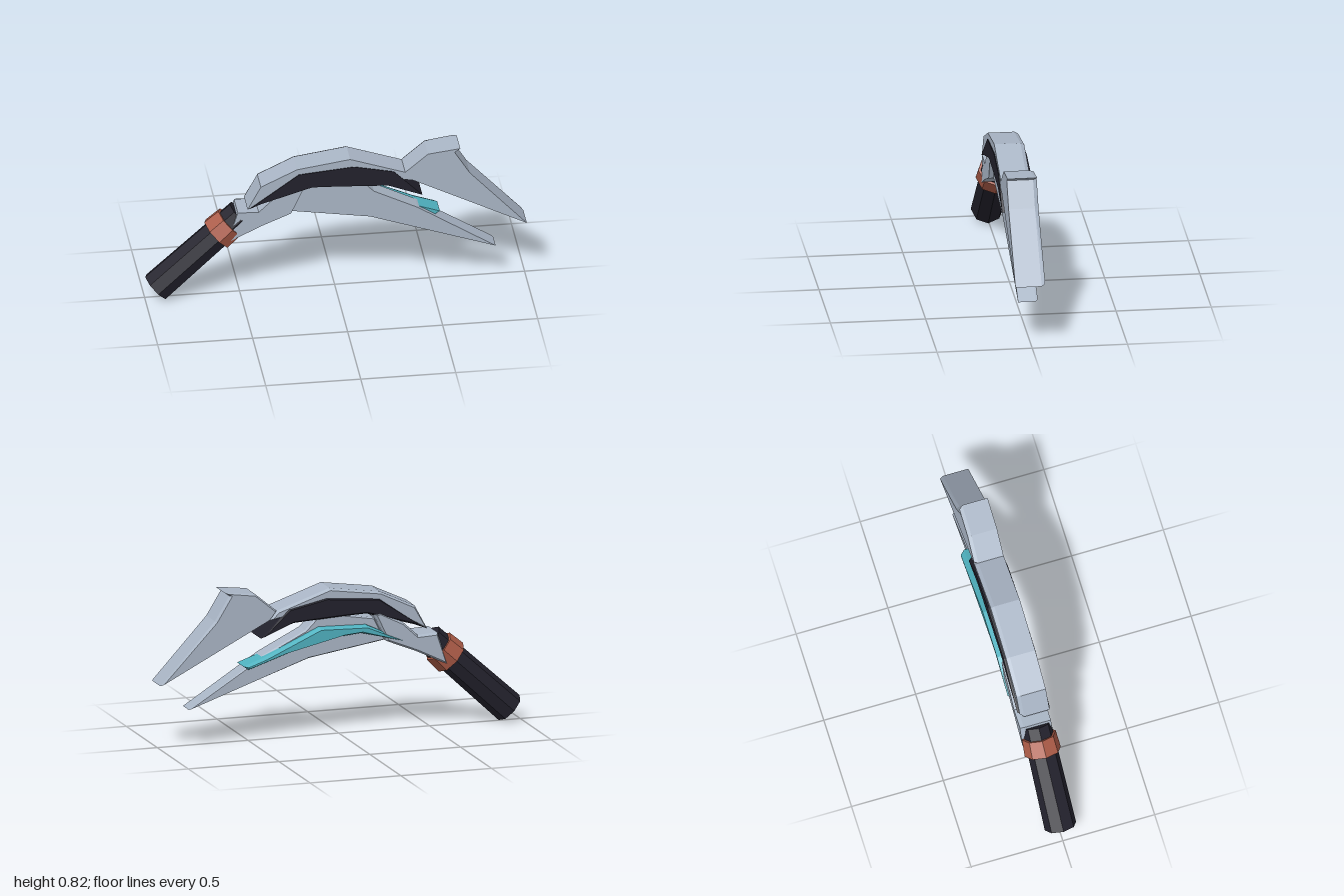
import * as THREE from 'three';

const mat = (name, color) => {
  const m = new THREE.MeshStandardMaterial({ color });
  m.name = name;
  return m;
};

// Flat slab from an outline, square at the front and chamfered at the back
function slab(outline, zBack, zFront, inset = 0.01, depth = 0.02) {
  let pts = outline.map(([x, y]) => new THREE.Vector2(x, y));
  if (THREE.ShapeUtils.area(pts) < 0) pts = pts.reverse();
  const n = pts.length;
  const inner = pts.map((p, i) => {
    const a = p.clone().sub(pts[(i + n - 1) % n]).normalize();
    const b = pts[(i + 1) % n].clone().sub(p).normalize();
    const na = new THREE.Vector2(-a.y, a.x), nb = new THREE.Vector2(-b.y, b.x);
    const m = na.clone().add(nb).normalize();
    return p.clone().addScaledVector(m, inset / Math.max(0.45, m.dot(na)));
  });
  const pos = [];
  const put = (p, z) => pos.push(p.x, p.y, z);
  const wall = (A, za, B, zb) => {
    for (let i = 0; i < n; i++) {
      const j = (i + 1) % n;
      put(A[i], za); put(A[j], za); put(B[j], zb);
      put(A[i], za); put(B[j], zb); put(B[i], zb);
    }
  };
  wall(inner, zBack, pts, zBack + depth);
  wall(pts, zBack + depth, pts, zFront);
  for (const [a, b, c] of THREE.ShapeUtils.triangulateShape(pts, [])) {
    put(pts[a], zFront); put(pts[b], zFront); put(pts[c], zFront);
    put(inner[a], zBack); put(inner[c], zBack); put(inner[b], zBack);
  }
  const g = new THREE.BufferGeometry();
  g.setAttribute('position', new THREE.Float32BufferAttribute(pos, 3));
  g.computeVertexNormals();
  return g;
}

export function createModel() {
  const group = new THREE.Group();
  const steel = mat('steel', 0xaab6c6);
  const dark = mat('darkGrip', 0x22212c);
  const copper = mat('copper', 0xab5b47);
  const teal = mat('teal', 0x4fb1bf);
  const add = (name, geometry, material) => {
    const mesh = new THREE.Mesh(geometry, material);
    mesh.name = name;
    group.add(mesh);
    return mesh;
  };

  // Arched upper blade
  add('upperBlade', slab([
    [-0.47, 0.54], [-0.40, 0.67], [-0.21, 0.76], [0.07, 0.80], [0.36, 0.70],
    [0.40, 0.65], [0.28, 0.67], [0.05, 0.70], [-0.18, 0.68], [-0.40, 0.575],
  ], -0.07, 0.088), steel);

  // Hooked head at the end of the upper blade
  add('bladeHook', slab([
    [0.36, 0.70], [0.48, 0.80], [0.65, 0.82], [0.62, 0.80], [0.70, 0.67],
    [1.0, 0.345], [0.40, 0.65],
  ], -0.07, 0.088, 0.008), steel);

  // Dark inlay under the arch
  add('darkInlay', slab([
    [-0.46, 0.545], [-0.20, 0.73], [0.09, 0.755], [0.30, 0.71], [0.45, 0.56],
    [0.27, 0.63], [0.0, 0.645], [-0.13, 0.65], [-0.40, 0.57],
  ], -0.08, 0.092), dark);

  // Narrow lower blade
  add('lowerBlade', slab([
    [-0.24, 0.497], [-0.18, 0.62], [0.0, 0.65], [0.13, 0.65], [0.20, 0.58],
    [0.43, 0.465], [0.84, 0.203], [0.18, 0.43],
  ], -0.05, 0.055, 0.006, 0.012), steel);

  // Teal strip behind the lower blade
  add('tealStrip', slab([
    [-0.34, 0.49], [-0.13, 0.59], [0.13, 0.597], [0.43, 0.462], [0.55, 0.42],
    [0.52, 0.40], [0.13, 0.53], [-0.10, 0.55],
  ], -0.095, 0.03, 0.01, 0.025), teal);

  // Guard joining blades and handle
  add('guard', slab([
    [-0.575, 0.345], [-0.52, 0.52], [-0.41, 0.515], [-0.33, 0.59], [-0.2, 0.655],
    [-0.17, 0.645], [-0.24, 0.495], [-0.40, 0.43],
  ], -0.087, 0.08), steel);

  // Octagonal handle and its collar, both on one slanted axis
  const start = new THREE.Vector3(-0.94, 0.067, 0.005);
  const axis = new THREE.Vector3(0.735, 0.678, 0).normalize();
  const rod = (name, from, to, r0, r1, material) => {
    const g = new THREE.CylinderGeometry(r1, r0, to - from, 8).toNonIndexed();
    g.computeVertexNormals();
    const mesh = add(name, g, material);
    mesh.quaternion.setFromUnitVectors(new THREE.Vector3(0, 1, 0), axis);
    mesh.position.copy(start).addScaledVector(axis, (from + to) / 2);
  };
  rod('handle', 0, 0.60, 0.085, 0.078, dark);
  rod('collar', 0.435, 0.53, 0.098, 0.092, copper);

  return group;
}
